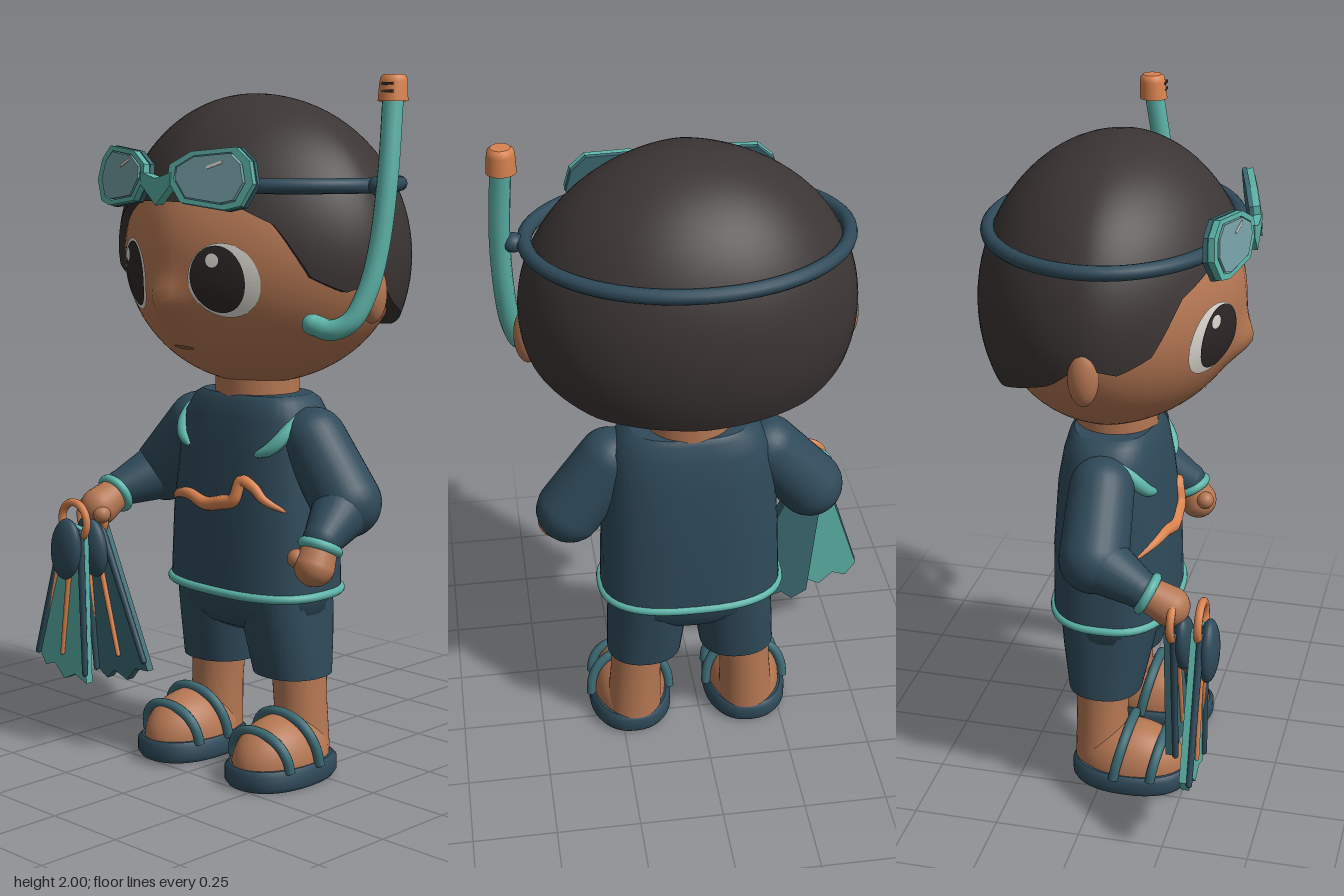
import * as THREE from 'three';
import { mergeGeometries } from 'three/addons/utils/BufferGeometryUtils.js';

const CX = 0.03; // middle of the body
const V = (x, y, z) => new THREE.Vector3(x, y, z);
const mat = (name, color) => Object.assign(new THREE.MeshStandardMaterial({ color }), { name });

// Surface closed around u; v runs downwards
function surface(nu, nv, fn) {
  const pos = [], idx = [];
  for (let j = 0; j <= nv; j++) for (let i = 0; i < nu; i++) pos.push(...fn((i / nu) * Math.PI * 2, j));
  for (let j = 0; j < nv; j++) for (let i = 0; i < nu; i++) {
    const k = (i + 1) % nu, a = j * nu + i, b = j * nu + k;
    idx.push(a, a + nu, b, b, a + nu, b + nu);
  }
  const g = new THREE.BufferGeometry();
  g.setAttribute('position', new THREE.Float32BufferAttribute(pos, 3));
  g.setIndex(idx);
  g.computeVertexNormals();
  return g;
}

// Stacked superellipse rings [y, rx, rz, cx, cz] from top to bottom, capped with sharp rims
const power = (t, n) => Math.sign(t) * Math.abs(t) ** (2 / n);
function loft(rings, n = 2) {
  const first = rings[0], last = rings[rings.length - 1];
  const close = r => [r[0], 0, 0, r[3], r[4]];
  const all = [close(first), first, ...rings, last, close(last)];
  return surface(40, all.length - 1, (t, j) => {
    const [y, rx, rz, cx, cz] = all[j];
    return [cx + rx * power(Math.sin(t), n), y, cz + rz * power(Math.cos(t), n)];
  });
}

// Tube through points; taper(t) scales its thickness
function tube(pts, r, closed = false, taper = null) {
  const curve = new THREE.CatmullRomCurve3(pts, closed), n = 64, m = 12;
  const g = new THREE.TubeGeometry(curve, n, r, m, closed);
  if (taper) {
    const p = g.attributes.position, v = V(0, 0, 0);
    for (let i = 0; i < p.count; i++) {
      const t = Math.floor(i / (m + 1)) / n, c = curve.getPointAt(t);
      v.fromBufferAttribute(p, i).sub(c).multiplyScalar(taper(t)).add(c);
      p.setXYZ(i, v.x, v.y, v.z);
    }
    g.computeVertexNormals();
  }
  return g;
}

// Tapered capsule from a to b
function bone(a, b, ra, rb) {
  const L = a.distanceTo(b), pts = [];
  for (let i = 0; i <= 8; i++) { const t = (i / 8 - 1) * Math.PI / 2; pts.push(new THREE.Vector2(ra * Math.cos(t), ra * Math.sin(t))); }
  for (let i = 0; i <= 8; i++) { const t = (i / 8) * Math.PI / 2; pts.push(new THREE.Vector2(rb * Math.cos(t), L + rb * Math.sin(t))); }
  const g = new THREE.LatheGeometry(pts, 28);
  g.applyQuaternion(new THREE.Quaternion().setFromUnitVectors(V(0, 1, 0), b.clone().sub(a).normalize()));
  return g.translate(a.x, a.y, a.z);
}

const ball = (x, y, z, rx, ry, rz) => new THREE.SphereGeometry(1, 28, 20).scale(rx, ry, rz).translate(x, y, z);
const poly = pts => new THREE.Shape(pts.map(p => new THREE.Vector2(...p)));
const slab = (shape, depth) => new THREE.ExtrudeGeometry(shape, { depth, bevelEnabled: false });

// Head plan: narrows to the front, full at the back
const P = 1.65;
const plan = t => {
  const s = Math.sin(t), c = Math.cos(t), n = c > 0 ? P : 2.1;
  const k = (Math.abs(s) ** n + Math.abs(c) ** n) ** (-1 / n);
  return [s * k, c * k];
};
const nose = (x, y) => 0.04 * Math.exp(-(((x - CX) / 0.06) ** 2) - ((y - 1.385) / 0.06) ** 2);
const faceZ = (x, y) => {
  const s = Math.sqrt(1 - ((y - 1.5) / 0.37) ** 2);
  return 0.36 * s * Math.max(0, 1 - Math.abs((x - CX) / (0.45 * s)) ** P) ** (1 / P) + nose(x, y);
};
// Thin oval laid on the face
function facePatch(cx, cy, rx, ry, off) {
  const g = new THREE.RingGeometry(0, 1, 40, 8), p = g.attributes.position;
  for (let i = 0; i < p.count; i++) {
    const x = cx + rx * p.getX(i), y = cy + ry * p.getY(i);
    p.setXYZ(i, x, y, faceZ(x, y) + off);
  }
  g.computeVertexNormals();
  return g;
}

// Height of the hairline around the head
const LINE = [[0, 1.66], [0.5, 1.655], [0.8, 1.6], [1.05, 1.46], [1.3, 1.42], [1.57, 1.45], [1.8, 1.38], [2.4, 1.3], [3.15, 1.28]];
function lerpTable(table, x, col) {
  let i = 1;
  while (i < table.length - 1 && x > table[i][0]) i++;
  const a = table[i - 1], b = table[i];
  return THREE.MathUtils.lerp(a[col], b[col], THREE.MathUtils.clamp((x - a[0]) / (b[0] - a[0]), 0, 1));
}

const TORSO = [[1.105, 0.175, 0.115, CX, -0.01], [1.09, 0.203, 0.128, CX, -0.01], [1.04, 0.235, 0.142, CX, -0.01],
  [0.95, 0.25, 0.158, CX, -0.01], [0.75, 0.265, 0.178, CX, -0.005], [0.53, 0.273, 0.182, CX, -0.002]];
const UP = [...TORSO].reverse();
const chest = (x, y) => {
  const rx = lerpTable(UP, y, 1), rz = lerpTable(UP, y, 2);
  return V(x, y, lerpTable(UP, y, 4) + rz * (1 - Math.abs((x - CX) / rx) ** 2.6) ** (1 / 2.6));
};

export function createModel() {
  const skin = mat('skin', 0xb57753), hairM = mat('hair', 0x3b3534), navy = mat('navy', 0x2f4a5a), teal = mat('teal', 0x5cb3a8),
    orange = mat('orange', 0xd9834f), deep = mat('deepTeal', 0x3c6a73), glass = mat('glass', 0x76a1a7),
    white = mat('eyeWhite', 0xdedbd3), black = mat('pupil', 0x2e2727), lip = mat('lip', 0x8a5540);
  const root = new THREE.Group();
  const add = (name, geo, material, parent = root) => {
    const m = new THREE.Mesh(geo, material);
    m.name = name;
    parent.add(m);
    return m;
  };

  // Head, neck and hair
  add('head', surface(72, 48, (t, j) => {
    const f = (j / 48) * Math.PI, s = Math.sin(f), [a, b] = plan(t);
    const x = CX + 0.45 * a * s, y = 1.5 + 0.37 * Math.cos(f);
    return [x, y, (b > 0 ? 0.36 : 0.355) * b * s + (b > 0 ? nose(x, y) : 0)];
  }), skin);
  add('neck', loft([[1.2, 0.125, 0.12, CX, -0.01], [1.05, 0.125, 0.12, CX, -0.01]]), skin);
  add('hair', surface(96, 27, (t, j) => {
    const y0 = lerpTable(LINE, t > Math.PI ? 2 * Math.PI - t : t, 1);
    const f = Math.min(j / 25, 1) * Math.acos((y0 - 1.5) / 0.455);
    const s = Math.sin(f) * (j === 27 ? 0.88 : 1), [a, b] = plan(t);
    return [CX + 0.475 * a * s, 1.5 + 0.455 * Math.cos(f), (b > 0 ? 0.375 : 0.395) * b * s];
  }), hairM);

  // Face
  for (const s of [-1, 1]) {
    const side = s > 0 ? 'left' : 'right', ex = CX + s * 0.178;
    add(side + 'Ear', ball(CX + s * 0.452, 1.415, 0.005, 0.038, 0.083, 0.043), skin);
    add(side + 'EyeWhite', facePatch(ex, 1.45, 0.093, 0.102, 0.004), white);
    add(side + 'Pupil', facePatch(ex - s * 0.012, 1.453, 0.072, 0.092, 0.008), black);
    add(side + 'EyeGlint', facePatch(ex - 0.018, 1.505, 0.018, 0.02, 0.012), white);
  }
  add('mouth', facePatch(0.01, 1.25, 0.046, 0.006, 0.004), lip);

  // Goggles with a strap hugging the hair
  const ring = [];
  for (let i = 0; i < 32; i++) {
    const t = (i / 32) * Math.PI * 2, c = Math.cos(t);
    ring.push(V(CX + 0.446 * Math.sin(t), 1.705, (c > 0 ? 0.328 : 0.364) * c));
  }
  add('goggleStrap', tube(ring, 0.021, true), navy);
  const RIM = [[-0.125, 0.03], [-0.06, 0.068], [0.08, 0.085], [0.125, 0.05], [0.142, -0.01], [0.11, -0.07], [0.06, -0.083], [-0.08, -0.07], [-0.128, -0.01]];
  for (const s of [-1, 1]) {
    const g = new THREE.Group(), rim = k => RIM.map(([x, y]) => [x * k * s, y * k]);
    g.name = (s > 0 ? 'left' : 'right') + 'Goggle';
    const frame = poly(rim(1));
    frame.holes.push(poly(rim(0.83)));
    add('goggleFrame', slab(frame, 0.018), teal, g);
    add('goggleBacking', slab(poly(rim(1.03)), 0.014).translate(0, 0, -0.014), deep, g);
    add('lens', slab(poly(rim(0.79)), 0.022).translate(0, 0, -0.001), glass, g);
    add('lensGlint', new THREE.BoxGeometry(0.05, 0.008, 0.003).rotateZ(0.35).translate(0.02, 0.035, 0.022), white, g);
    g.position.set(CX + s * 0.168, 1.725, 0.339);
    g.rotation.set(-0.13, s * 0.24, 0);
    root.add(g);
  }
  add('goggleBridge', slab(poly([[-0.06, 0.035], [0, 0.018], [0.06, 0.035], [0.058, 0], [0, -0.055], [-0.058, 0]]), 0.03)
    .translate(CX, 1.705, 0.358), teal);

  // Snorkel, clipped to the strap
  add('snorkelTube', mergeGeometries([
    tube([V(0.527, 1.95, -0.02), V(0.54, 1.72, 0.015), V(0.535, 1.53, 0.045), V(0.522, 1.42, 0.075), V(0.497, 1.345, 0.11),
      V(0.455, 1.322, 0.14), V(0.405, 1.335, 0.16)], 0.029),
    ball(0.405, 1.335, 0.16, 0.03, 0.029, 0.029)]), teal);
  add('snorkelCap', loft([[2, 0.027, 0.027, 0.525, -0.024], [1.993, 0.035, 0.035, 0.525, -0.024], [1.98, 0.038, 0.038, 0.525, -0.023],
    [1.929, 0.041, 0.041, 0.526, -0.02]]), orange);
  for (const y of [1.955, 1.975]) add('capSlit', new THREE.BoxGeometry(0.035, 0.007, 0.008).translate(0.535, y, 0.014), hairM);
  add('snorkelClip', ball(0.505, 1.705, 0.01, 0.03, 0.027, 0.03), navy);

  // Shirt with hem and chest marks
  add('shirt', loft(TORSO, 2.6), navy);
  const hem = [];
  for (let i = 0; i < 40; i++) {
    const t = (i / 40) * Math.PI * 2;
    hem.push(V(CX + 0.271 * power(Math.sin(t), 2.6), 0.538, -0.002 + 0.18 * power(Math.cos(t), 2.6)));
  }
  add('shirtHem', tube(hem, 0.013, true), teal);
  const thin = t => 0.15 + 0.85 * Math.sin(Math.PI * t) ** 0.6;
  for (const s of [-1, 1]) add('shoulderMark', tube([[0.216, 1.056], [0.202, 1.0], [0.175, 0.965], [0.132, 0.943]]
    .map(([x, y]) => chest(CX + s * x, y)), 0.021, false, thin), teal);
  add('chestWave', tube([[-0.2, 0.772], [-0.14, 0.797], [-0.08, 0.805], [0, 0.788], [0.06, 0.8], [0.105, 0.812], [0.127, 0.868], [0.17, 0.852], [0.2, 0.822], [0.255, 0.79]]
    .map(([x, y]) => chest(x, y)), 0.02, false, thin), orange);

  // Arms: shoulder, elbow, wrist, hand, thumb
  const arms = {
    left: [V(0.265, 0.985, 0), V(0.385, 0.82, -0.005), V(0.415, 0.74, 0.125), V(0.417, 0.67, 0.16), V(0.378, 0.69, 0.19)],
    right: [V(-0.205, 0.985, 0), V(-0.338, 0.83, 0.01), V(-0.387, 0.78, 0.15), V(-0.388, 0.735, 0.24), V(-0.35, 0.72, 0.265)],
  };
  for (const [side, [sh, el, wr, ha, th]] of Object.entries(arms)) {
    add(side + 'UpperSleeve', bone(sh, el, 0.094, 0.1), navy);
    add(side + 'LowerSleeve', bone(el, wr, 0.095, 0.056), navy);
    const cuff = add(side + 'Cuff', new THREE.TorusGeometry(0.051, 0.014, 12, 28), teal);
    cuff.position.copy(wr).lerp(ha, 0.3);
    cuff.quaternion.setFromUnitVectors(V(0, 0, 1), ha.clone().sub(wr).normalize());
    add(side + 'Hand', bone(wr, ha, 0.046, 0.058), skin);
    add(side + 'Thumb', bone(ha, th, 0.028, 0.027), skin);
  }

  // Shorts, legs and sandals
  add('shortsHips', loft([[0.55, 0.25, 0.17, CX, 0], [0.48, 0.25, 0.16, CX, 0], [0.43, 0.18, 0.12, CX, 0], [0.41, 0.1, 0.08, CX, 0]], 2.3), navy);
  for (const s of [-1, 1]) {
    const side = s > 0 ? 'left' : 'right', x = o => CX + s * o;
    add(side + 'ShortsLeg', loft([[0.53, 0.12, 0.15, x(0.125), 0], [0.43, 0.122, 0.135, x(0.132), -0.005], [0.29, 0.114, 0.11, x(0.145), -0.01]], 2.2), navy);
    add(side + 'Shin', loft([[0.32, 0.082, 0.08, x(0.165), -0.015], [0.2, 0.078, 0.078, x(0.173), -0.015], [0.05, 0.085, 0.083, x(0.18), -0.012]]), skin);
    const foot = new THREE.Group();
    foot.name = side + 'Foot';
    foot.position.set(x(0.185), 0, 0.08);
    add('footSkin', new THREE.SphereGeometry(1, 32, 12, 0, Math.PI * 2, 0, Math.PI / 2).scale(0.114, 0.132, 0.168).translate(0, 0.055, 0), skin, foot);
    add('sole', loft([[0.062, 0.117, 0.168, 0, 0], [0.05, 0.13, 0.18, 0, 0], [0.015, 0.13, 0.18, 0, 0], [0, 0.12, 0.17, 0, 0]], 2.3), navy, foot);
    for (const [z, rx, ry, lean] of [[0.08, 0.113, 0.1, 0.02], [-0.03, 0.125, 0.136, 0.03]]) {
      const arch = [];
      for (let i = 0; i <= 12; i++) {
        const t = (i / 12) * Math.PI;
        arch.push(V(rx * power(Math.cos(t), 2.3), 0.055 + ry * power(Math.sin(t), 2.3), z + lean * Math.sin(t)));
      }
      add('sandalStrap', tube(arch, 0.015), deep, foot);
    }
    root.add(foot);
  }

  // Swim fins hanging from the right hand
  const BLADE = [[-0.04, 0], [-0.115, -0.425], [-0.075, -0.466], [-0.035, -0.446], [0.015, -0.48], [0.06, -0.45], [0.115, -0.462], [0.04, 0]];
  for (const [name, z, turn, colour] of [['frontFin', 0.325, -0.14, teal], ['backFin', 0.248, 0.28, deep]]) {
    const fin = new THREE.Group();
    fin.name = name;
    fin.position.set(-0.398, 0.685, z);
    fin.rotation.z = turn;
    add('blade', slab(poly(BLADE), 0.024).translate(0, 0, -0.014), colour, fin);
    for (const s of [-1, 1]) add('bladeRail', bone(V(s * 0.038, -0.01, 0.014), V(s * 0.11, -0.43, 0.014), 0.011, 0.009), navy, fin);
    for (const k of [-0.55, 0, 0.55]) add('bladeRib', bone(V(k * 0.09, -0.1, 0.013), V(k * 0.19, -0.4, 0.013), 0.009, 0.007), orange, fin);
    add('footPocket', ball(0, -0.067, 0.032, 0.06, 0.094, 0.031), navy, fin);
    add('heelLoop', new THREE.TorusGeometry(0.056, 0.012, 10, 32).translate(0, 0.018, 0.008), orange, fin);
    root.add(fin);
  }
  return root;
}
